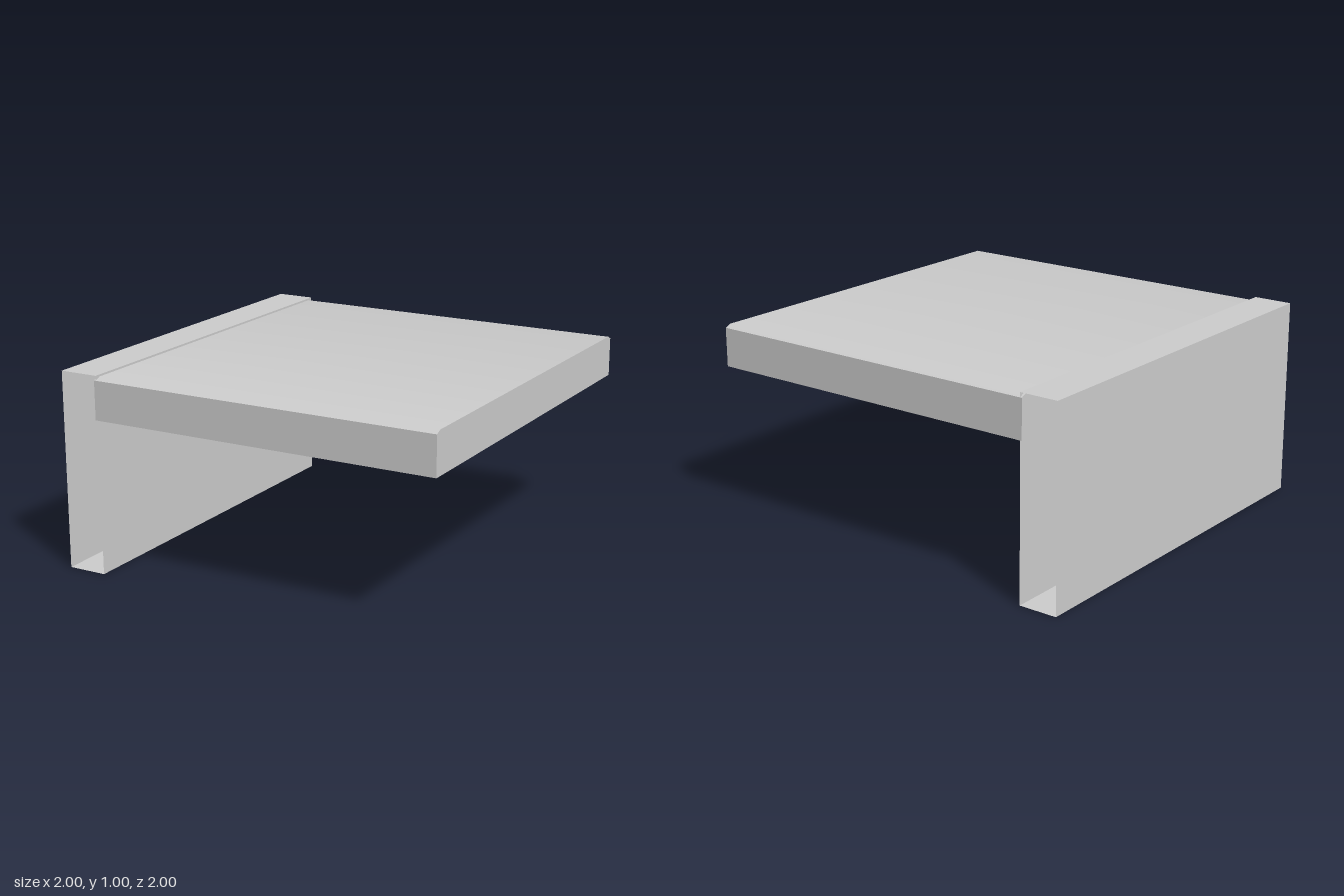
import * as THREE from 'three';

const grey = new THREE.MeshStandardMaterial({ color: 0xcccccc, side: THREE.DoubleSide });
grey.name = 'plain grey';

// Upright wall: a hollow rectangular sleeve, open at its front and back ends
function makeWall() {
  const geometry = new THREE.BoxGeometry(0.2, 1, 2);
  geometry.setIndex(Array.from(geometry.index.array).slice(0, 24)); // drop both z ends
  geometry.clearGroups();
  const wall = new THREE.Mesh(geometry, grey);
  wall.name = 'sideWall';
  wall.position.set(-0.9, 0.5, 0);
  return wall;
}

// Slab: a closed box whose top dips along the front and back edges
function makeSlab() {
  const left = -0.81, right = 1, bottom = 0.78, top = 0.99;
  const edgeTop = 0.976, crestZ = 0.97;
  const geometry = new THREE.BoxGeometry(right - left, top - bottom, 2, 1, 1, 3);
  geometry.translate((left + right) / 2, (bottom + top) / 2, 0);
  const position = geometry.attributes.position;
  const normal = geometry.attributes.normal;
  const slope = Math.atan2(top - edgeTop, 1 - crestZ);
  for (let i = 0; i < position.count; i++) {
    const z = position.getZ(i);
    const side = Math.sign(z);
    const atEdge = Math.abs(z) > 0.9;
    if (!atEdge) position.setZ(i, side * crestZ);
    else if (position.getY(i) > 0.9) position.setY(i, edgeTop);
    // Smooth shading across the top
    if (normal.getY(i) > 0.5) {
      const tilt = atEdge ? slope : slope / 2;
      normal.setXYZ(i, 0, Math.cos(tilt), side * Math.sin(tilt));
    }
  }
  const slab = new THREE.Mesh(geometry, grey);
  slab.name = 'roofSlab';
  return slab;
}

export function createModel() {
  const model = new THREE.Group();
  model.name = 'wallWithCantileverSlab';
  model.add(makeWall(), makeSlab());
  return model;
}
